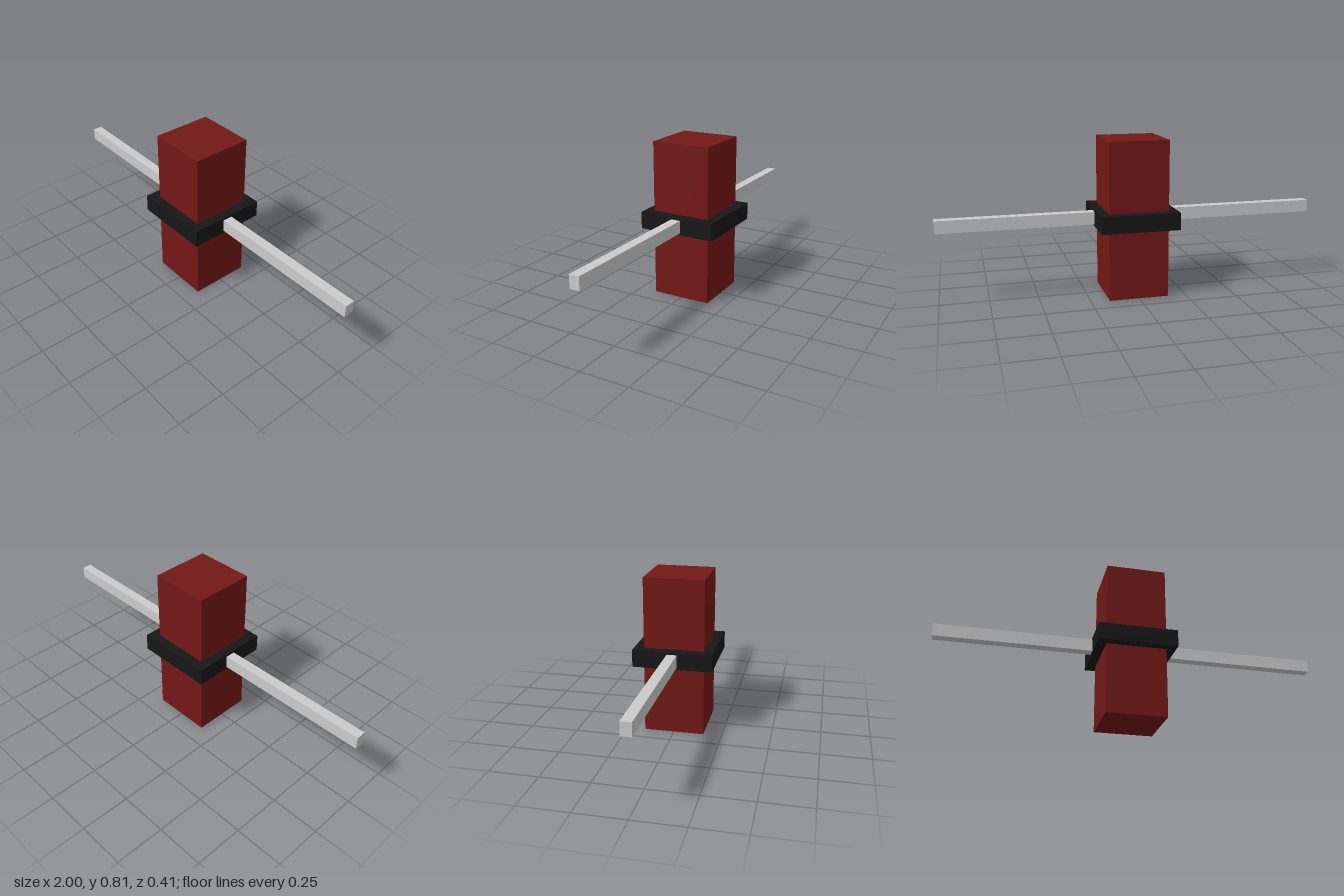
import * as THREE from 'three';

export function createModel() {
  const group = new THREE.Group();

  function block(name, [w, h, d], y, color) {
    const mesh = new THREE.Mesh(
      new THREE.BoxGeometry(w, h, d),
      new THREE.MeshStandardMaterial({ color })
    );
    mesh.name = name;
    mesh.position.y = y;
    group.add(mesh);
  }

  // Upright square body
  block('body', [0.31, 0.815, 0.31], 0.4075, 0x721816);
  // Dark band around the middle
  block('collar', [0.407, 0.089, 0.407], 0.4075, 0x161616);
  // Long bar running through from side to side
  block('crossbar', [2, 0.065, 0.051], 0.4075, 0xcccccc);

  return group;
}
